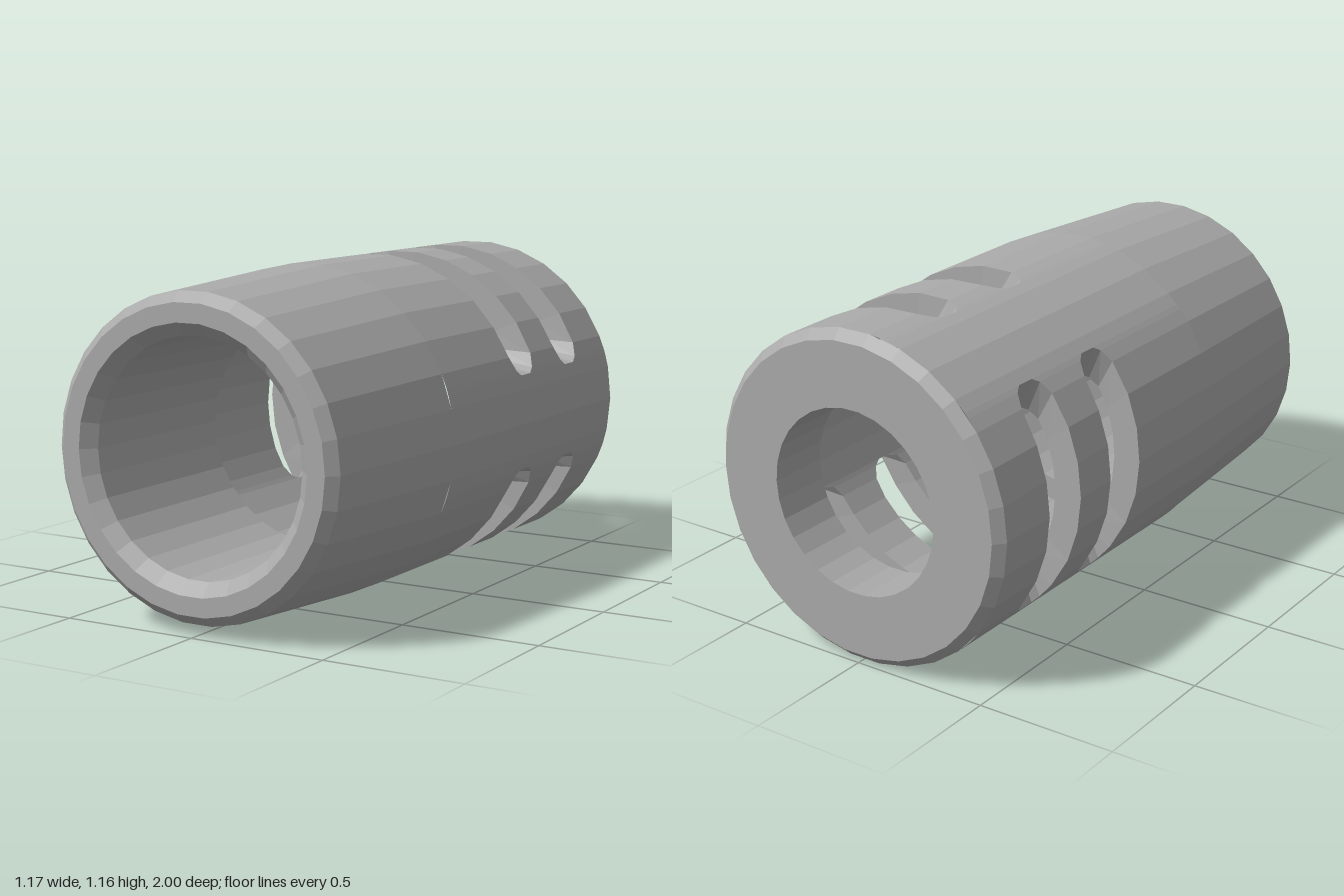
import * as THREE from 'three';

const R_OUT = 0.583, R_IN = 0.483, R_BORE = 0.4, R_EXIT = 0.325;
const Z_FRONT = 0.3, Z_STEP = 0.28, Z_PLATE = -0.78, Z_REAR = -0.965;
const SLOTS = [-0.64, -0.28];

// Half a 120 degree sector, measured from the slot centre: outer angle, inner angle, slot half width
const HALF = [
  [0, 0, 0.09], [12, 10.5, 0.09], [24, 21, 0.09], [36, 30, 0.085],
  [41, 35, 0.062], [43, 37, 0.035], [48, 48, 0], [60, 60, 0],
];
const COLUMNS = [...HALF.slice(1).reverse().map(([a, b, w]) => [-a, -b, w]), ...HALF];

function revolve(points) {
  const g = new THREE.LatheGeometry(
    points.map(([r, z]) => new THREE.Vector2(r, z)), 30, THREE.MathUtils.degToRad(6));
  return g.rotateX(Math.PI / 2);
}

// One third of the chamber wall, with two curved slots cut through it
function slottedSector() {
  const pos = [];
  const point = (r, deg, z) => {
    const a = THREE.MathUtils.degToRad(deg);
    return [r * Math.cos(a), r * Math.sin(a), z];
  };
  const quad = (a, b, c, d, flip) => {
    if (flip) [b, d] = [d, b];
    pos.push(...a, ...b, ...c, ...a, ...c, ...d);
  };
  const outer = (col, z) => point(R_OUT, col[0], z);
  const inner = (col, z) => point(R_IN, col[1], z);

  for (let i = 0; i < COLUMNS.length - 1; i++) {
    const p = COLUMNS[i], q = COLUMNS[i + 1];
    const open = p[2] > 0 && q[2] > 0;

    // Skin bands between the slots, outside and inside
    for (const [side, back, front, flip] of [
      [outer, Z_REAR, Z_FRONT, false], [inner, Z_PLATE, Z_STEP, true]]) {
      const edges = (c) => open
        ? [back, ...SLOTS.flatMap((s) => [s - c[2], s + c[2]]), front]
        : [back, front];
      const ep = edges(p), eq = edges(q);
      for (let k = 0; k < ep.length; k += 2) {
        quad(side(p, ep[k]), side(q, eq[k]), side(q, eq[k + 1]), side(p, ep[k + 1]), flip);
      }
    }

    for (const s of SLOTS) {
      if (open) {
        // Long slot walls
        for (const d of [-1, 1]) {
          const zp = s + d * p[2], zq = s + d * q[2];
          quad(outer(p, zp), outer(q, zq), inner(q, zq), inner(p, zp), d > 0);
        }
      } else if (p[2] > 0 || q[2] > 0) {
        // Slanted slot ends
        const c = p[2] > 0 ? p : q;
        quad(inner(c, s - c[2]), outer(c, s - c[2]), outer(c, s + c[2]), inner(c, s + c[2]), c === q);
      }
    }
  }
  const g = new THREE.BufferGeometry();
  g.setAttribute('position', new THREE.Float32BufferAttribute(pos, 3));
  g.computeVertexNormals();
  return g;
}

export function createModel() {
  const metal = new THREE.MeshStandardMaterial({ color: 0xaaaaaa, flatShading: true });
  metal.name = 'grey metal';
  const model = new THREE.Group();
  model.name = 'slottedSleeve';

  const add = (name, geometry) => {
    const mesh = new THREE.Mesh(geometry, metal);
    mesh.name = name;
    mesh.position.y = R_OUT;
    model.add(mesh);
    return mesh;
  };

  // Tapered front with bevelled rim and narrower bore
  add('frontSleeve', revolve([
    [R_OUT, Z_FRONT], [0.545, 0.965], [0.51, 1], [0.445, 1],
    [R_BORE, 0.955], [R_BORE, Z_STEP], [R_IN, Z_STEP],
  ]));

  // Rear plate with exit hole
  add('rearPlate', revolve([
    [R_IN, Z_PLATE], [R_EXIT, Z_PLATE], [R_EXIT, -1], [0.55, -1], [R_OUT, Z_REAR],
  ]));

  // Chamber wall in three equal sectors
  const sector = slottedSector();
  [60, 180, 300].forEach((deg, i) => {
    add('slottedWall' + (i + 1), sector).rotation.z = THREE.MathUtils.degToRad(deg);
  });
  return model;
}
